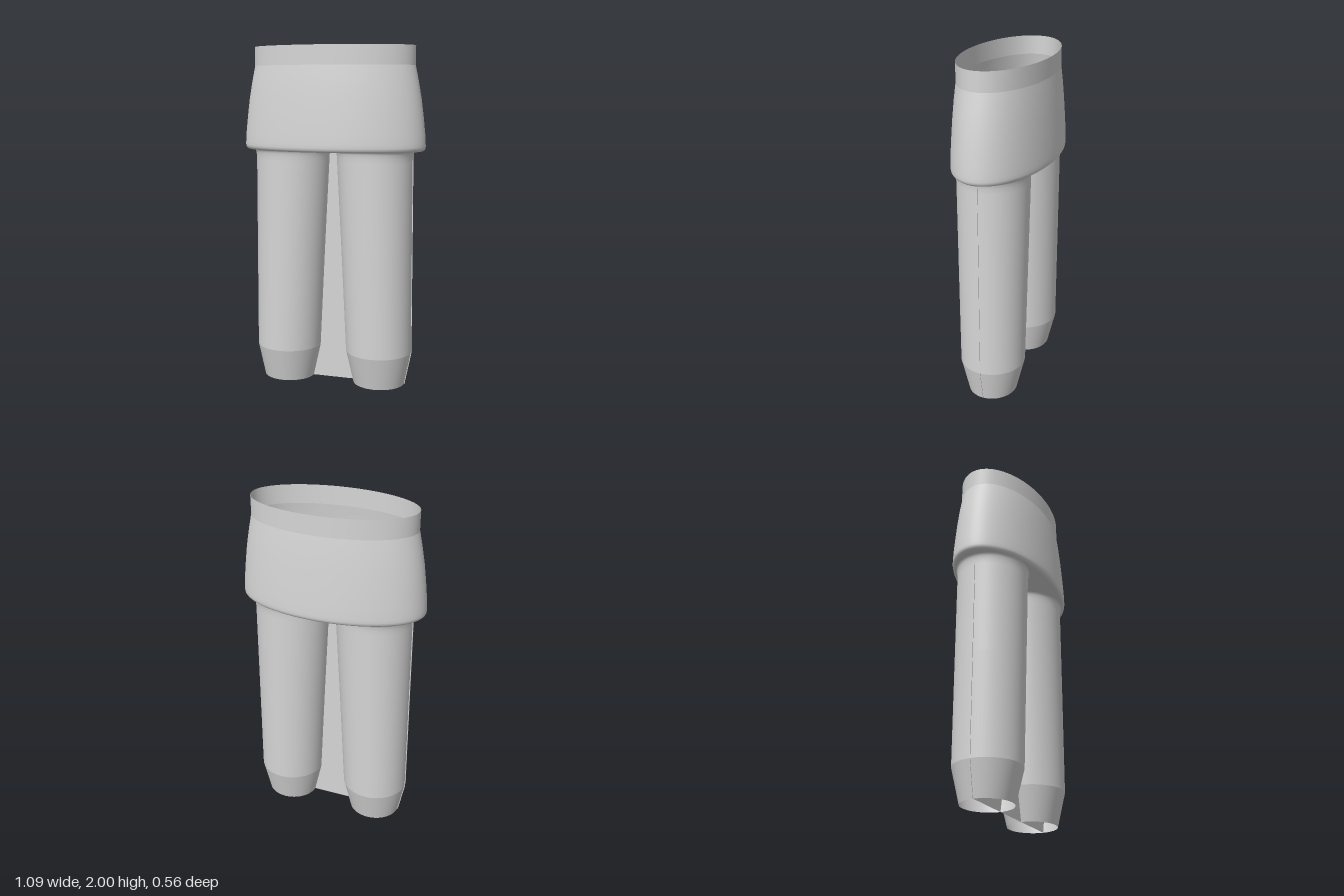
import * as THREE from 'three';

const grey = new THREE.MeshStandardMaterial({ color: 0xd6d6d6, side: THREE.DoubleSide });
grey.name = 'light grey';

// Open skin through elliptical rings [y, centreX, radiusX, radiusZ], listed bottom to top
function loft(rings, seg = 64) {
  const pos = [], idx = [];
  for (const [y, cx, rx, rz] of rings) {
    for (let i = 0; i < seg; i++) {
      const a = (i / seg) * Math.PI * 2;
      pos.push(cx + rx * Math.sin(a), y, rz * Math.cos(a));
    }
  }
  for (let r = 0; r < rings.length - 1; r++) {
    for (let i = 0; i < seg; i++) {
      const a = r * seg + i, b = r * seg + (i + 1) % seg;
      idx.push(a, b, b + seg, a, b + seg, a + seg);
    }
  }
  const g = new THREE.BufferGeometry();
  g.setAttribute('position', new THREE.Float32BufferAttribute(pos, 3));
  g.setIndex(idx);
  g.computeVertexNormals();
  return g;
}

export function createModel() {
  const model = new THREE.Group();
  model.name = 'twinPipeAdapter';
  const add = (name, geometry) => {
    const mesh = new THREE.Mesh(geometry, grey);
    mesh.name = name;
    model.add(mesh);
  };

  // Oval collar: straight rim, flared body with a rounded lower lip
  add('rim', loft([[1.89, 0, 0.48, 0.247], [2, 0, 0.48, 0.247]], 96));
  add('collar', loft([
    [1.405, 0, 0.53, 0.265], [1.41, 0, 0.537, 0.272], [1.418, 0, 0.543, 0.278],
    [1.43, 0, 0.545, 0.28], [1.45, 0, 0.544, 0.28], [1.5, 0, 0.541, 0.278],
    [1.6, 0, 0.53, 0.272], [1.7, 0, 0.517, 0.265], [1.8, 0, 0.499, 0.257],
    [1.89, 0, 0.48, 0.247],
  ], 96));

  // Collar floor: closed at the back, open into the front half of each leg
  const floor = new THREE.Shape();
  floor.absellipse(0, 0, 0.53, 0.265, 0, Math.PI * 2);
  for (const s of [1, -1]) {
    const hole = new THREE.Path();
    hole.absellipse(s * 0.25, -0.001, 0.231, 0.209, Math.PI, Math.PI * 2);
    hole.closePath();
    floor.holes.push(hole);
  }
  add('collarFloor', new THREE.ShapeGeometry(floor, 48).rotateX(-Math.PI / 2).translate(0, 1.405, 0));

  // Two tapering legs, flared where they meet the floor, with conical tips
  for (const [side, s] of [['left', 1], ['right', -1]]) {
    add(side + 'Leg', loft([
      [0.2, s * 0.2825, 0.1975, 0.193], [0.8, s * 0.266, 0.21, 0.199],
      [1.34, s * 0.25, 0.2225, 0.204], [1.37, s * 0.25, 0.2235, 0.205],
      [1.39, s * 0.25, 0.227, 0.207], [1.4, s * 0.25, 0.231, 0.21],
      [1.405, s * 0.25, 0.236, 0.214],
    ]));
    add(side + 'LegTip', loft([
      [0, s * 0.285, 0.155, 0.145], [0.2, s * 0.2825, 0.1975, 0.193],
    ]));
  }

  // Flat divider through both legs, bridging the gap and standing slightly proud outside
  const web = new THREE.Shape();
  web.moveTo(-0.444, 0);
  web.lineTo(0.444, 0);
  web.lineTo(0.484, 0.2);
  web.lineTo(0.477, 1.405);
  web.lineTo(-0.477, 1.405);
  web.lineTo(-0.484, 0.2);
  web.closePath();
  add('divider', new THREE.ShapeGeometry(web));

  return model;
}
